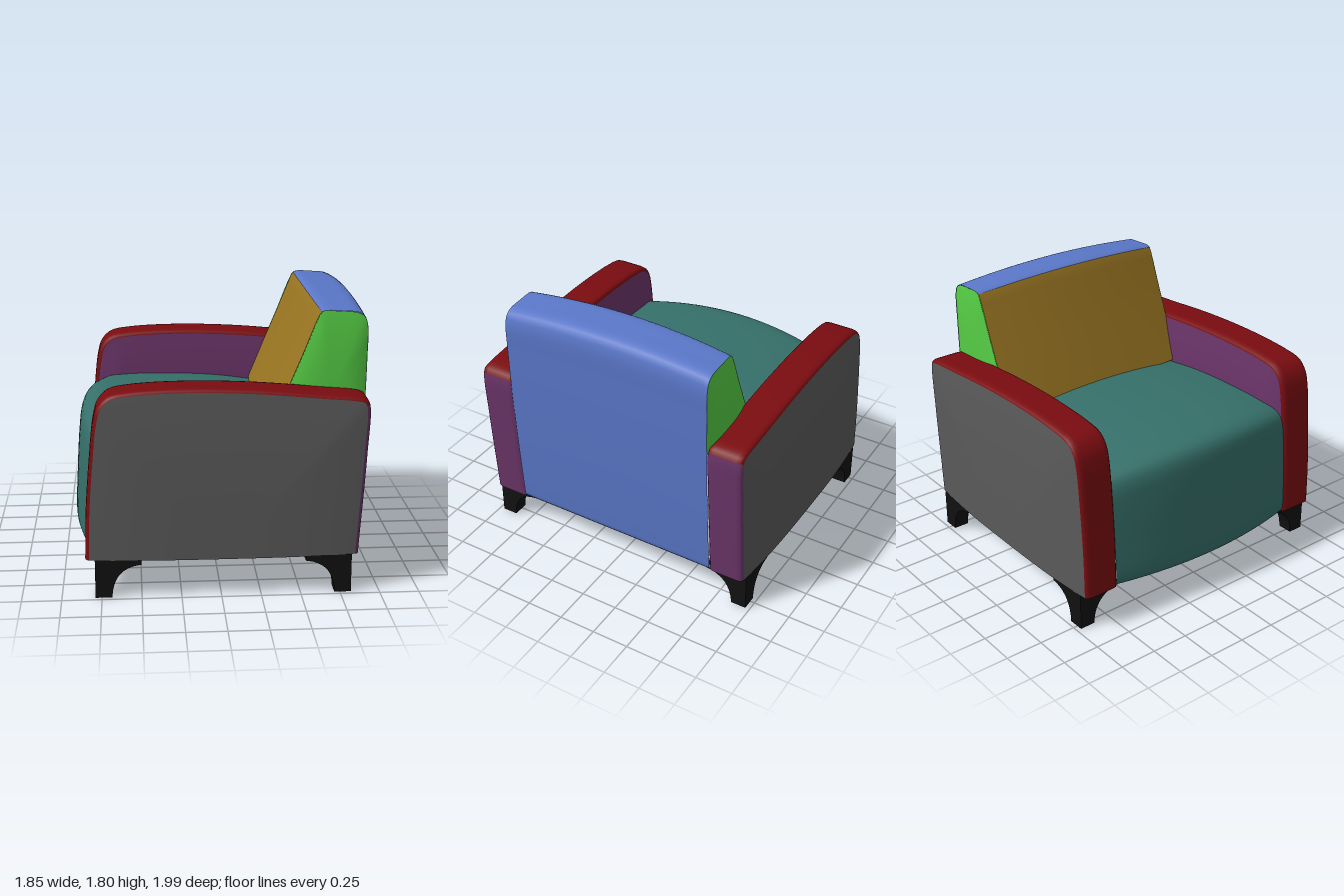
import * as THREE from 'three';

const clamp01 = (t) => Math.min(1, Math.max(0, t));
const paint = (color) => new THREE.MeshStandardMaterial({ color, side: THREE.DoubleSide });
const MAT = {
  seat: paint(0x36706a), front: paint(0x9a7622), back: paint(0x5a77c8), cheek: paint(0x55cc44),
  band: paint(0x7a0c10), inner: paint(0x6a3468), side: paint(0x5a5a5a), leg: paint(0x111111),
};

// Smooth 2D profile, evenly sampled
function profile(points, n) {
  return new THREE.CatmullRomCurve3(points.map(([x, y]) => new THREE.Vector3(x, y, 0))).getSpacedPoints(n);
}

// Move each profile point inwards (to the right of travel) by d
function inset(pts, d) {
  return pts.map((p, i) => {
    const t = pts[Math.min(i + 1, pts.length - 1)].clone().sub(pts[Math.max(i - 1, 0)]).normalize();
    return new THREE.Vector3(p.x + t.y * d, p.y - t.x * d, 0);
  });
}

// Surface through rows of [x, y, z] points
function sheet(name, rows, material) {
  const w = rows[0].length, index = [];
  for (let i = 0; i < rows.length - 1; i++) {
    for (let j = 0; j < w - 1; j++) {
      const a = i * w + j, b = a + w;
      index.push(a, b, a + 1, b, b + 1, a + 1);
    }
  }
  const g = new THREE.BufferGeometry();
  g.setAttribute('position', new THREE.Float32BufferAttribute(rows.flat(2), 3));
  g.setIndex(index);
  g.computeVertexNormals();
  const mesh = new THREE.Mesh(g, material);
  mesh.name = name;
  return mesh;
}

// Profile swept across the width; bend(p, k2) gives the crowned [x, y], k2 = 0 centre, 1 edge
function crowned(name, pts, bend, material) {
  const n = 24;
  return sheet(name, pts.map((p) => Array.from({ length: n + 1 }, (_, j) => {
    const k = (2 * j) / n - 1;
    return [...bend(p, k * k), 0.725 * k];
  })), material);
}

// Puffed panel: outline shrunk towards a centre while it swells outwards
function puffed(name, pts, cx, cy, z, swell, s, material) {
  const rows = Array.from({ length: 15 }, (_, i) => {
    const v = (i / 14) ** 1.6;
    return pts.map((p) => [p.x + (cx - p.x) * v, p.y + (cy - p.y) * v, s * (z + swell * (1 - (1 - v) ** 3))]);
  });
  return sheet(name, rows, material);
}

function createArm(s) {
  const arm = new THREE.Group();
  arm.name = s > 0 ? 'leftArm' : 'rightArm';
  const outline = profile([
    [-0.85, 0.25], [-0.84, 0.55], [-0.812, 0.9], [-0.785, 1.13], [-0.755, 1.23], [-0.69, 1.295], [-0.56, 1.322],
    [-0.22, 1.338], [0.2, 1.325], [0.6, 1.29], [0.85, 1.265], [0.895, 1.25], [0.914, 1.21], [0.905, 0.9], [0.865, 0.25],
  ], 110);
  // Band across the arm's thickness, with softened edges: [z, inset]
  const steps = [[0.72, 0.03], [0.723, 0.015], [0.735, 0.004], [0.76, 0], [0.92, 0], [0.945, 0.004], [0.957, 0.012], [0.962, 0.024]];
  const rows = steps.map(([z, d]) => inset(outline, d).map((p) => [p.x, p.y, s * z]));
  const split = outline.findIndex((p) => p.x > 0.8 && p.y < 1.24);
  arm.add(sheet('armBand', rows.map((r) => r.slice(0, split + 1)), MAT.band));
  arm.add(sheet('armRear', rows.map((r) => r.slice(split)), MAT.inner));
  arm.add(puffed('armOuterPanel', inset(outline, 0.024), 0.02, 0.25, 0.962, 0.034, s, MAT.side));
  // Inner panel, from the band down to just below the seat
  const top = inset(outline, 0.03).filter((p) => p.y > 0.92 && p.x < 0.62);
  const inner = Array.from({ length: 9 }, (_, i) => {
    const v = i / 8;
    return top.map((p) => {
      const ends = clamp01((p.x + 0.79) / 0.15) * clamp01((0.62 - p.x) / 0.2);
      return [p.x, p.y + (0.92 - p.y) * v, s * (0.72 - 0.032 * Math.sin(v * Math.PI / 2) * ends)];
    });
  });
  arm.add(sheet('armInnerPanel', inner, MAT.inner));
  return arm;
}

function createBackrest() {
  const back = new THREE.Group();
  back.name = 'backrest';
  const bend = (p, k2) => [
    p.x + 0.03 * k2 * clamp01((0.9 - p.x) / 0.3) * clamp01((p.y - 0.6) / 0.3),
    p.y - 0.04 * k2 * clamp01((p.y - 1) / 0.7),
  ];
  const front = profile([[0.285, 0.99], [0.35, 1.155], [0.48, 1.485], [0.578, 1.74], [0.592, 1.775], [0.602, 1.79]], 24);
  back.add(crowned('backrestFront', front, bend, MAT.front));
  const shell = profile([
    [0.602, 1.79], [0.625, 1.8], [0.75, 1.797], [0.855, 1.787], [0.9, 1.762], [0.921, 1.7], [0.922, 1.5],
    [0.918, 1.25], [0.905, 0.9], [0.872, 0.33], [0.865, 0.265], [0.85, 0.25], [0.77, 0.25],
  ], 90);
  back.add(crowned('backrestShell', shell, bend, MAT.back));
  const cheek = profile([
    [0.4, 1.2], [0.52, 1.49], [0.61, 1.715], [0.635, 1.755], [0.75, 1.755], [0.855, 1.745],
    [0.9, 1.72], [0.92, 1.66], [0.921, 1.5], [0.917, 1.2],
  ], 60);
  for (const s of [1, -1]) back.add(puffed('backrestSide', cheek, 0.69, 1.2, 0.722, 0.03, s, MAT.cheek));
  return back;
}

function createSeat() {
  const pts = profile([
    [-0.89, 0.25], [-0.92, 0.255], [-0.928, 0.29], [-0.918, 0.55], [-0.897, 0.85], [-0.88, 0.97], [-0.855, 1.025],
    [-0.8, 1.058], [-0.65, 1.075], [-0.3, 1.078], [0.05, 1.06], [0.34, 1.025],
  ], 70);
  return crowned('seat', pts, (p, k2) => [
    p.x + 0.09 * k2 * clamp01((0.3 - p.x) / 1.1),
    p.y - 0.06 * k2 * clamp01((p.y - 0.3) / 0.6),
  ], MAT.seat);
}

// Corner bracket foot: two coved wings meeting at a square post
function createLeg() {
  const leg = new THREE.Group();
  leg.name = 'leg';
  const shape = new THREE.Shape();
  shape.moveTo(0, 0);
  shape.lineTo(0.105, 0);
  shape.bezierCurveTo(0.11, 0.14, 0.18, 0.205, 0.29, 0.215);
  shape.lineTo(0.29, 0.25);
  shape.lineTo(0, 0.25);
  const wing = new THREE.ExtrudeGeometry(shape, { depth: 0.105, bevelEnabled: false, curveSegments: 14 });
  const turned = wing.clone().rotateY(-Math.PI / 2).translate(0.105, 0, 0);
  for (const g of [wing, turned]) {
    const mesh = new THREE.Mesh(g, MAT.leg);
    mesh.name = 'legWing';
    leg.add(mesh);
  }
  return leg;
}

export function createModel() {
  const chair = new THREE.Group();
  chair.name = 'armchair';
  chair.add(createSeat(), createBackrest(), createArm(1), createArm(-1));
  // Legs: corner x, corner z, turn
  for (const [x, z, turn] of [[-0.79, -0.97, 0], [0.82, -0.97, -1], [0.82, 0.97, 2], [-0.79, 0.97, 1]]) {
    const leg = createLeg();
    leg.position.set(x, 0, z);
    leg.rotation.y = turn * Math.PI / 2;
    chair.add(leg);
  }
  return chair;
}
